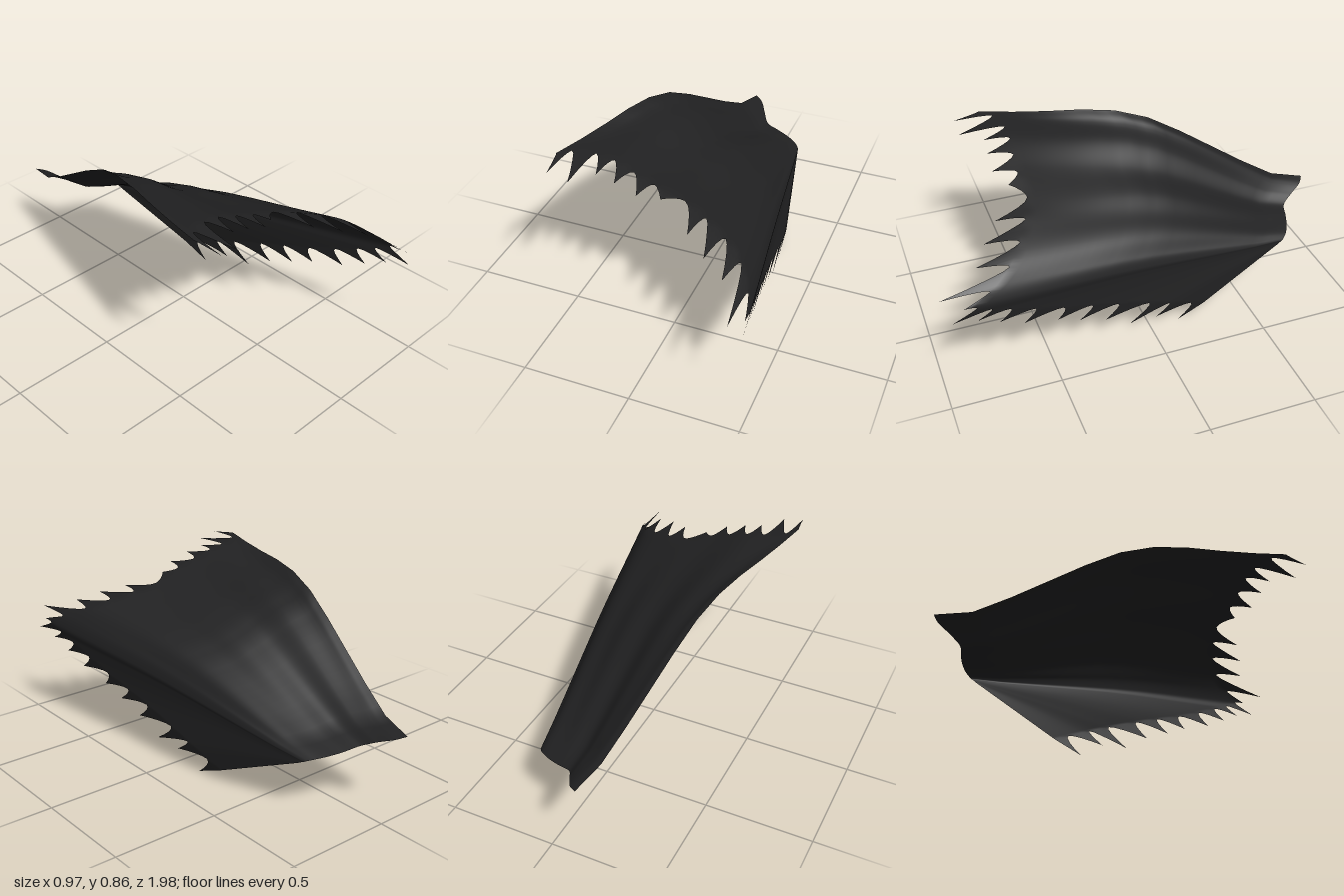
import * as THREE from 'three';

const V = (p) => new THREE.Vector3(...p);
const curve = (pts) => new THREE.CatmullRomCurve3(pts.map(V));

// Neck edge and hem, both running from the centre back, over the shoulder fold, to the front corner
const neck = curve([
  [-0.13, 0.37, -1], [-0.09, 0.357, -0.97], [-0.05, 0.333, -0.905], [-0.01, 0.305, -0.845], [0.06, 0.29, -0.82],
  [0.12, 0.28, -0.795], [0.17, 0.27, -0.765], [0.19, 0.262, -0.745], [0.2, 0.255, -0.73], [0.201, 0.252, -0.725],
  [0.202, 0.25, -0.72], [0.203, 0.248, -0.715], [0.204, 0.246, -0.71], [0.205, 0.243, -0.705], [0.206, 0.24, -0.7],
]);
const hem = curve([
  [-0.49, 0.868, 0.57], [-0.42, 0.855, 0.5], [-0.28, 0.835, 0.48], [-0.1, 0.775, 0.5], [0.08, 0.71, 0.5],
  [0.2, 0.675, 0.55], [0.35, 0.62, 0.64], [0.43, 0.565, 0.74], [0.475, 0.515, 0.84], [0.45, 0.45, 0.72],
  [0.41, 0.355, 0.5], [0.37, 0.27, 0.25], [0.34, 0.19, 0.03], [0.32, 0.13, -0.12], [0.288, 0.06, -0.28],
]);
const LAST = 14;
const FOLD = 8;

// Billow height along the length, and how much of it each column takes
const billow = [0, -0.02, 0.02, 0.07, 0.12, 0.158, 0.158, 0.125, 0.078, 0.036, 0];
function billowAt(v) {
  const i = Math.min(9, Math.floor(v * 10));
  return THREE.MathUtils.lerp(billow[i], billow[i + 1], v * 10 - i);
}
const share = (u) => (u < FOLD ? 0.1 + 0.9 * (1 - u / FOLD) ** 1.5 : (0.1 * (LAST - u)) / (LAST - FOLD));

function clothPoint(u, v) {
  const p = neck.getPoint(u / LAST).lerp(hem.getPoint(u / LAST), v);
  p.y += billowAt(v) * share(u);
  // soft pleats across the back
  if (u < FOLD) p.y += 0.004 * Math.sin(Math.PI * v) * Math.sin(u * 3.6) * Math.min(1, u, FOLD - u);
  return p;
}

// Ragged points along the hem: [position, length]
const rags = [
  [0.15, 0.14], [1.25, 0.21], [1.85, 0.12], [2.35, 0.12], [2.9, 0.11], [3.4, 0.06], [4.4, 0.15], [5.2, 0.18],
  [5.85, 0.18], [6.75, 0.27], [7.8, 0.06], [8.4, 0.14], [8.9, 0.11], [9.4, 0.11], [9.9, 0.12], [10.5, 0.11],
  [11, 0.13], [11.6, 0.14], [12.5, 0.18], [13.05, 0.12], [14, 0.15],
];

// Rags trail backwards from the back panel and droop more on the side panel
function ragDirection(u) {
  const side = THREE.MathUtils.clamp((u - 7) / 3, 0, 1);
  return new THREE.Vector3(0.08, THREE.MathUtils.lerp(-0.1, -0.4, side), 1).normalize();
}

function clothGeometry() {
  // columns: each rag gets a few, so that the gaps between points are scalloped
  const columns = [];
  rags.forEach(([u, length], k) => {
    const from = k ? (rags[k - 1][0] + u) / 2 : 0;
    const to = k < rags.length - 1 ? (rags[k + 1][0] + u) / 2 : LAST;
    for (let s = 0; s < 4; s++) {
      columns.push([THREE.MathUtils.lerp(from, u, s / 4), length * (s / 4) ** 1.7]);
    }
    columns.push([u, length]);
    if (to > u) {
      for (let s = 1; s < 4; s++) {
        columns.push([THREE.MathUtils.lerp(u, to, s / 4), length * (1 - s / 4) ** 1.7]);
      }
    }
  });

  const ROWS = 30;
  const stride = ROWS + 2;
  const positions = [];
  const index = [];
  columns.forEach(([u, length], c) => {
    for (let r = 0; r <= ROWS; r++) positions.push(...clothPoint(u, r / ROWS).toArray());
    // the rag continues the cloth beyond the hem
    positions.push(...clothPoint(u, 1).addScaledVector(ragDirection(u), length).toArray());
    if (!c) return;
    for (let r = 0; r <= ROWS; r++) {
      const a = (c - 1) * stride + r;
      const b = c * stride + r;
      index.push(a, a + 1, b, b, a + 1, b + 1);
    }
  });
  const g = new THREE.BufferGeometry();
  g.setAttribute('position', new THREE.Float32BufferAttribute(positions, 3));
  g.setIndex(index);
  g.computeVertexNormals();
  return g;
}

export function createModel() {
  const group = new THREE.Group();
  group.name = 'raggedCape';
  const blackCloth = new THREE.MeshStandardMaterial({ color: 0x212122, side: THREE.DoubleSide });
  blackCloth.name = 'black cloth';
  const cloth = new THREE.Mesh(clothGeometry(), blackCloth);
  cloth.name = 'capeCloth';
  group.add(cloth);
  return group;
}
